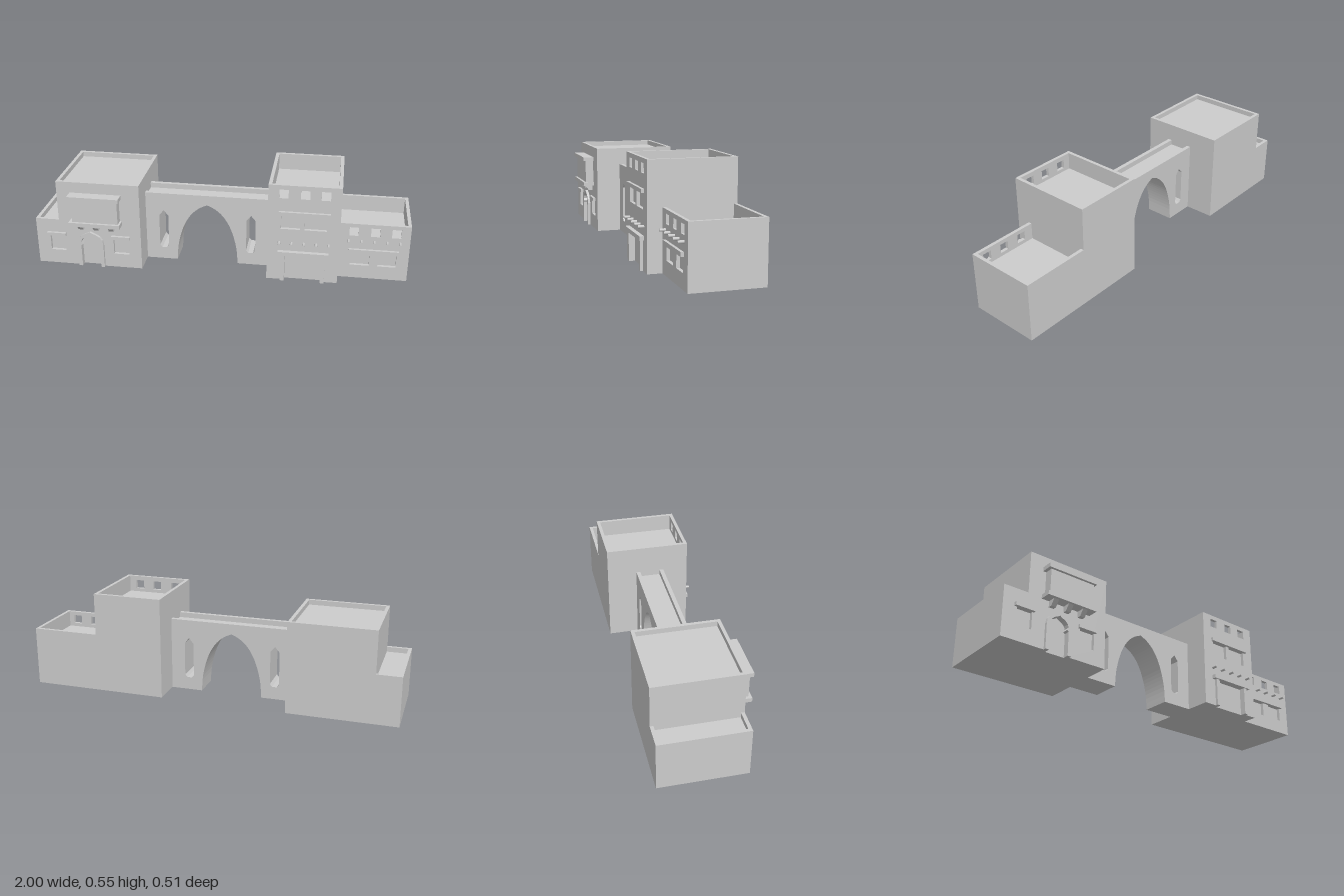
import * as THREE from 'three';

const T = 0.018; // wall thickness
const BACK = -0.255;

export function createModel() {
  const root = new THREE.Group();
  root.name = 'archedStreet';
  const stone = new THREE.MeshStandardMaterial({ color: 0xcccccc });
  stone.name = 'paleStone';

  const add = (group, name, geometry) => {
    const mesh = new THREE.Mesh(geometry, stone);
    mesh.name = name;
    group.add(mesh);
    return mesh;
  };
  // Box given by its limits
  const box = (group, name, x0, x1, y0, y1, z0, z1) => {
    const m = add(group, name, new THREE.BoxGeometry(x1 - x0, y1 - y0, z1 - z0));
    m.position.set((x0 + x1) / 2, (y0 + y1) / 2, (z0 + z1) / 2);
    return m;
  };
  const vec = (pts) => pts.map(([x, y]) => new THREE.Vector2(x, y));
  const rect = ([x0, x1, y0, y1]) => [[x0, y0], [x1, y0], [x1, y1], [x0, y1]];
  // Upright slab with openings, from z0 to z1
  const slab = (group, name, outline, holes, z0, z1) => {
    const shape = new THREE.Shape(vec(outline));
    holes.forEach((h) => shape.holes.push(new THREE.Path(vec(h))));
    const m = add(group, name, new THREE.ExtrudeGeometry(shape, { depth: z1 - z0, bevelEnabled: false }));
    m.position.z = z0;
    return m;
  };
  // Solid block with a sunken roof; the front wall is a separate slab
  const block = (group, x0, x1, top, floor, front, leftWall, rightWall) => {
    box(group, 'blockCore', x0, x1, 0, floor, BACK, front - T);
    box(group, 'backParapet', x0, x1, floor, top, BACK, BACK + T);
    if (leftWall) box(group, 'sideParapet', x0, x0 + T, floor, top, BACK + T, front - T);
    if (rightWall) box(group, 'sideParapet', x1 - T, x1, floor, top, BACK + T, front - T);
  };
  // Mirror a half profile (running upward, ending on the axis) about x = cx
  const arch = (cx, half) => [
    ...half.map(([x, y]) => [cx - x, y]),
    ...half.slice(0, -1).reverse().map(([x, y]) => [cx + x, y]),
  ];
  // Row of projecting roof beams
  const beams = (group, x0, x1, z) => {
    for (let i = 0; i < 5; i++) {
      const m = add(group, 'roofBeam', new THREE.CylinderGeometry(0.0075, 0.0075, 0.031, 10));
      m.rotation.x = Math.PI / 2;
      m.position.set(x0 + ((x1 - x0) * i) / 4, 0.22, z + 0.0155);
    }
  };

  // Left house: tall block and low annex sharing one front
  const left = new THREE.Group();
  left.name = 'leftHouse';
  root.add(left);
  const F = 0.197;
  block(left, -0.87, -0.42, 0.49, 0.463, F, true, true);
  block(left, -1, -0.87, 0.265, 0.238, F, true, false);
  const doorway = arch(-0.698, [[0.052, 0], [0.052, 0.125], [0.043, 0.132], [0.05, 0.146],
    [0.046, 0.163], [0.03, 0.178], [0.014, 0.185], [0, 0.194]]);
  slab(left, 'frontWall',
    [[-1, 0], ...doorway, [-0.42, 0], [-0.42, 0.49], [-0.87, 0.49], [-0.87, 0.265], [-1, 0.265]],
    [rect([-0.926, -0.843, 0.08, 0.171]), rect([-0.572, -0.487, 0.08, 0.171])], F - T, F);
  const frameOuter = arch(-0.698, [[0.072, 0], [0.072, 0.135], [0.067, 0.16], [0.052, 0.18],
    [0.028, 0.194], [0, 0.206]]);
  slab(left, 'doorFrame', [...frameOuter, ...doorway.slice().reverse()], [], F, 0.212);
  box(left, 'windowLintel', -0.939, -0.834, 0.171, 0.19, F, 0.212);
  box(left, 'windowLintel', -0.582, -0.479, 0.171, 0.19, F, 0.212);

  // Bay over the door
  box(left, 'bay', -0.78, -0.53, 0.28, 0.408, F, 0.243);
  box(left, 'bayCanopy', -0.797, -0.519, 0.408, 0.43, F, 0.257);
  box(left, 'bayFloor', -0.797, -0.519, 0.258, 0.28, F, 0.257);
  for (const x of [-0.742, -0.658, -0.575]) {
    const bracket = slab(left, 'bayBracket',
      [[-F, 0.258], [-0.243, 0.258], [-0.219, 0.226], [-F, 0.226]], [], -0.0135, 0.0135);
    bracket.rotation.y = Math.PI / 2;
    bracket.position.set(x - 0.0135, 0, 0);
  }

  // Bridge wall with pointed arch and slit openings
  const bridge = new THREE.Group();
  bridge.name = 'archedBridge';
  root.add(bridge);
  const B0 = -0.093, B1 = 0.061, P = 0.022;
  const curve = new THREE.SplineCurve(vec([[0.1685, 0], [0.162, 0.085], [0.144, 0.165], [0.118, 0.232],
    [0.083, 0.285], [0.043, 0.32], [0, 0.341]]));
  const span = arch(-0.081, curve.getPoints(24).map((p) => [p.x, p.y]));
  const slit = (cx) => [[-0.013, 0.069], [0.013, 0.069], [0.025, 0.084], [0.025, 0.265],
    [0, 0.295], [-0.025, 0.265], [-0.025, 0.084]].map(([x, y]) => [cx + x, y]);
  slab(bridge, 'archWall', [[-0.42, 0], ...span, [0.26, 0], [0.26, 0.368], [-0.42, 0.368]],
    [slit(-0.321), slit(0.159)], B0, B1);
  box(bridge, 'bridgeParapet', -0.42, 0.26, 0.368, 0.396, B0, B0 + P);
  box(bridge, 'bridgeParapet', -0.42, 0.26, 0.368, 0.396, B1 - P, B1);

  // Right tower
  const tower = new THREE.Group();
  tower.name = 'rightTower';
  root.add(tower);
  block(tower, 0.26, 0.635, 0.545, 0.455, F, true, true);
  slab(tower, 'frontWall',
    [[0.26, 0], [0.355, 0], [0.355, 0.152], [0.545, 0.152], [0.545, 0], [0.635, 0], [0.635, 0.545], [0.26, 0.545]],
    [...[0.34, 0.45, 0.555].map((x) => rect([x - 0.024, x + 0.024, 0.473, 0.521])),
      rect([0.329, 0.43, 0.299, 0.381]), rect([0.452, 0.568, 0.299, 0.381])], F - T, F);
  box(tower, 'windowLintel', 0.317, 0.583, 0.381, 0.401, F, 0.212);
  box(tower, 'doorLintel', 0.317, 0.583, 0.152, 0.174, F, 0.22);
  box(tower, 'doorPost', 0.334, 0.355, 0, 0.152, F, 0.212);
  box(tower, 'doorPost', 0.545, 0.566, 0, 0.152, F, 0.212);
  beams(tower, 0.323, 0.58, F);

  // Right low house
  const low = new THREE.Group();
  low.name = 'rightLowHouse';
  root.add(low);
  const L = 0.121;
  block(low, 0.635, 1, 0.318, 0.23, L, false, true);
  slab(low, 'frontWall', rect([0.635, 1, 0, 0.318]),
    [...[0.708, 0.82, 0.928].map((x) => rect([x - 0.024, x + 0.024, 0.249, 0.297])),
      rect([0.697, 0.797, 0.076, 0.152]), rect([0.842, 0.937, 0.076, 0.152])], L - T, L);
  box(low, 'windowLintel', 0.684, 0.947, 0.152, 0.174, L, 0.136);
  beams(low, 0.682, 0.949, L);

  return root;
}
